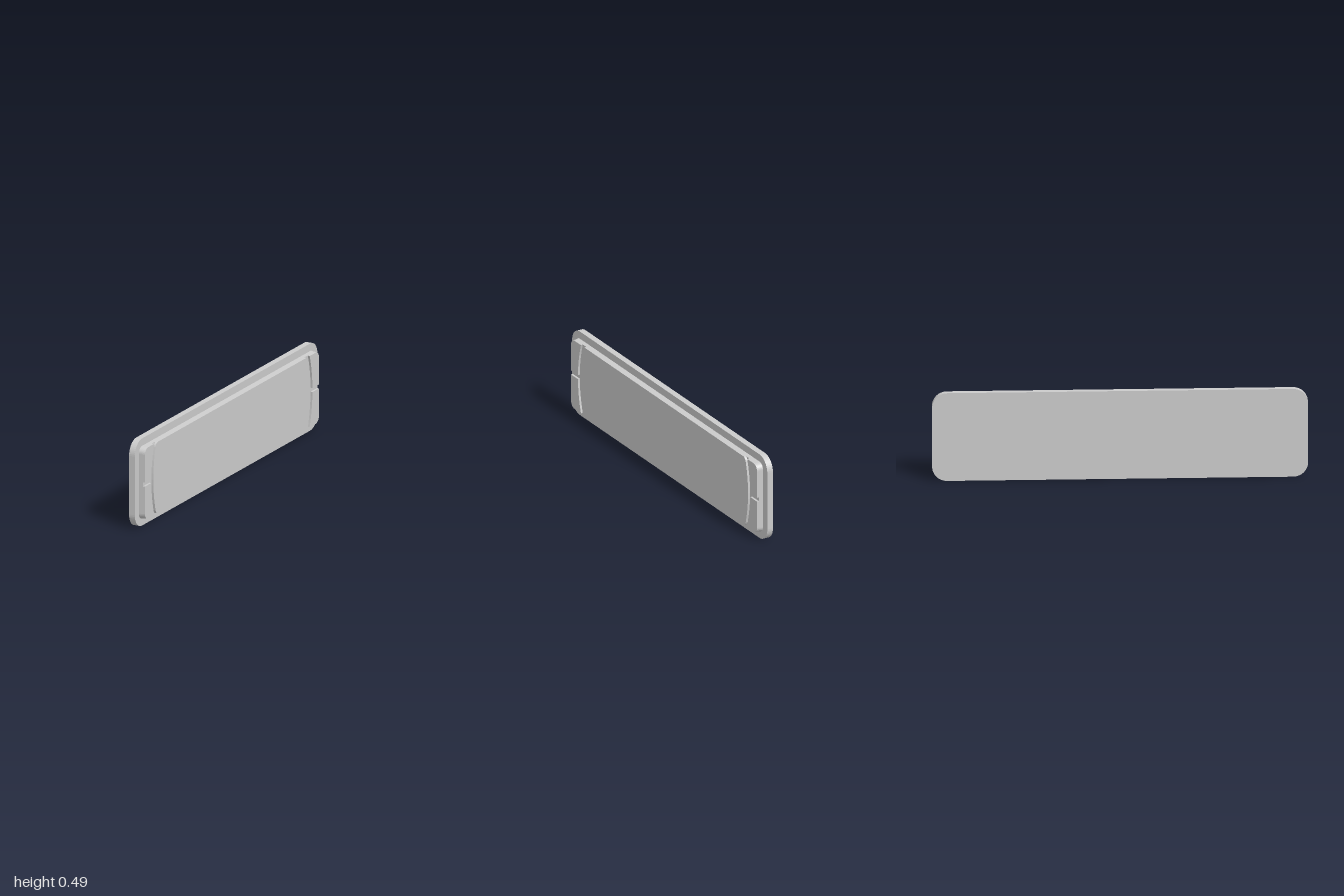
import * as THREE from 'three';

const CY = 0.2437;          // mid height of the whole panel
const HALF_V = 0.202;       // half height of the raised block
const HALF_U = 0.956;       // half length of the raised block
const TOP = 0.035;          // front surface of the raised block
const FLOOR = 0.023;        // groove floor

const material = new THREE.MeshStandardMaterial({ color: 0xcccccc, flatShading: true });

function roundedRect(hu, hv, r) {
  const s = new THREE.Shape();
  s.moveTo(-hu + r, -hv);
  s.absarc(hu - r, -hv + r, r, -Math.PI / 2, 0);
  s.absarc(hu - r, hv - r, r, 0, Math.PI / 2);
  s.absarc(-hu + r, hv - r, r, Math.PI / 2, Math.PI);
  s.absarc(-hu + r, -hv + r, r, Math.PI, Math.PI * 1.5);
  return s;
}

// Extrude an outline (length, height) along x, narrowing it slightly if drafted
function slab(name, shape, x0, x1, drafted) {
  const geo = new THREE.ExtrudeGeometry(shape, { depth: x1 - x0, bevelEnabled: false, curveSegments: 6 });
  geo.rotateY(Math.PI / 2).translate(x0, 0, 0);
  if (drafted) {
    const p = geo.attributes.position;
    for (let i = 0; i < p.count; i++) {
      const inset = 0.003 * p.getX(i) / TOP;
      p.setY(i, p.getY(i) * (1 - inset / HALF_V));
      p.setZ(i, p.getZ(i) * (1 - inset / HALF_U));
    }
  }
  geo.translate(0, CY, 0);
  geo.computeVertexNormals();
  const mesh = new THREE.Mesh(geo, material);
  mesh.name = name;
  return mesh;
}

// Bowed groove edge: furthest out at mid height
const bow = (mid, v) => mid - 0.03 * (v / 0.2) ** 2;

// Central panel with bowed ends and softened corners
function centrePanelShape() {
  const end = [];
  for (let i = 0; i <= 10; i++) {
    const v = -0.17 + 0.034 * i;
    end.push([bow(0.863, v), v]);
  }
  const c = bow(0.863, 0.19);
  const s = new THREE.Shape();
  s.moveTo(-0.812, -HALF_V);
  s.lineTo(0.812, -HALF_V);
  s.quadraticCurveTo(c, -HALF_V, ...end[0]);
  end.forEach(([u, v]) => s.lineTo(u, v));
  s.quadraticCurveTo(c, HALF_V, 0.812, HALF_V);
  s.lineTo(-0.812, HALF_V);
  s.quadraticCurveTo(-c, HALF_V, -end[10][0], end[10][1]);
  end.slice().reverse().forEach(([u, v]) => s.lineTo(-u, v));
  s.quadraticCurveTo(-c, -HALF_V, -0.812, -HALF_V);
  return s;
}

// Quarter pad between the bowed groove, the slot and the rounded outer corner
function endPadShape(su, sv) {
  const gap = 0.0115, r = 0.035;
  const s = new THREE.Shape();
  s.moveTo(su * bow(0.885, gap), sv * gap);
  s.lineTo(su * HALF_U, sv * gap);
  for (let i = 0; i <= 6; i++) {
    const a = i * Math.PI / 12;
    s.lineTo(su * (HALF_U - r + r * Math.cos(a)), sv * (HALF_V - r + r * Math.sin(a)));
  }
  for (let i = 0; i < 8; i++) {
    const v = HALF_V + (gap - HALF_V) * i / 8;
    s.lineTo(su * bow(0.885, v), sv * v);
  }
  return s;
}

export function createModel() {
  const group = new THREE.Group();
  group.name = 'coverPanel';

  // Back plate and the drafted block standing on it
  group.add(slab('backPlate', roundedRect(1, CY, 0.08), -0.035, 0, false));
  group.add(slab('raisedBase', roundedRect(HALF_U, HALF_V, 0.035), 0, FLOOR, true));

  // Raised faces, leaving the grooves and slots between them
  group.add(slab('centrePanel', centrePanelShape(), FLOOR, TOP, true));
  for (const su of [-1, 1]) {
    for (const sv of [-1, 1]) {
      group.add(slab('endPad', endPadShape(su, sv), FLOOR, TOP, true));
    }
  }
  return group;
}
